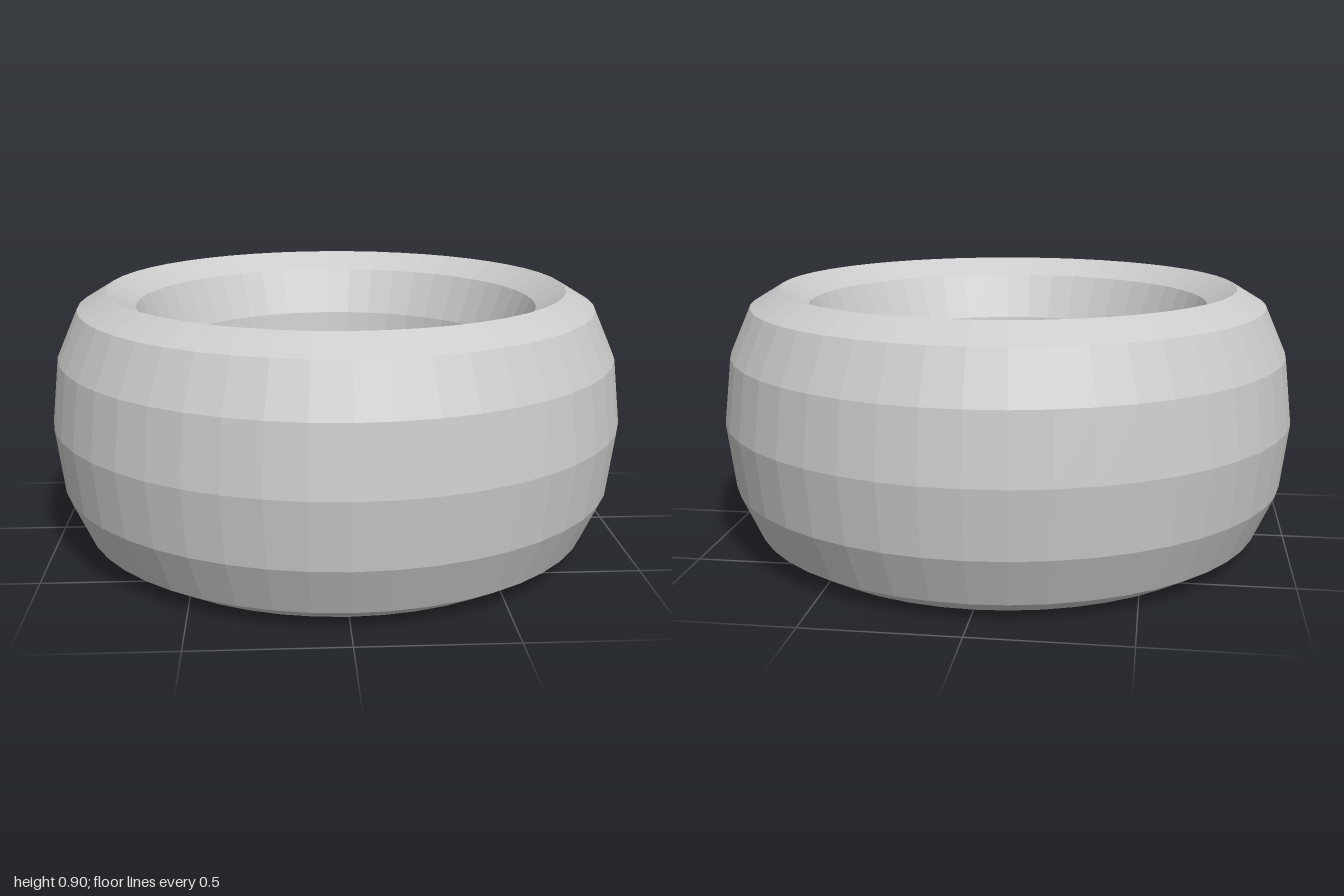
import * as THREE from 'three';

export function createModel() {
  const group = new THREE.Group();
  group.name = 'ring';

  // Faceted ring: 12-sided tube swept in 48 steps, laid flat and stretched upward
  const radius = 0.8, tube = 0.2, height = 0.9;
  const geometry = new THREE.TorusGeometry(radius, tube, 12, 48);
  geometry.rotateX(-Math.PI / 2);
  geometry.scale(1, height / (2 * tube), 1);
  geometry.translate(0, height / 2, 0);

  const material = new THREE.MeshStandardMaterial({ color: 0xcccccc, flatShading: true });
  const band = new THREE.Mesh(geometry, material);
  band.name = 'ringBand';
  group.add(band);

  return group;
}
